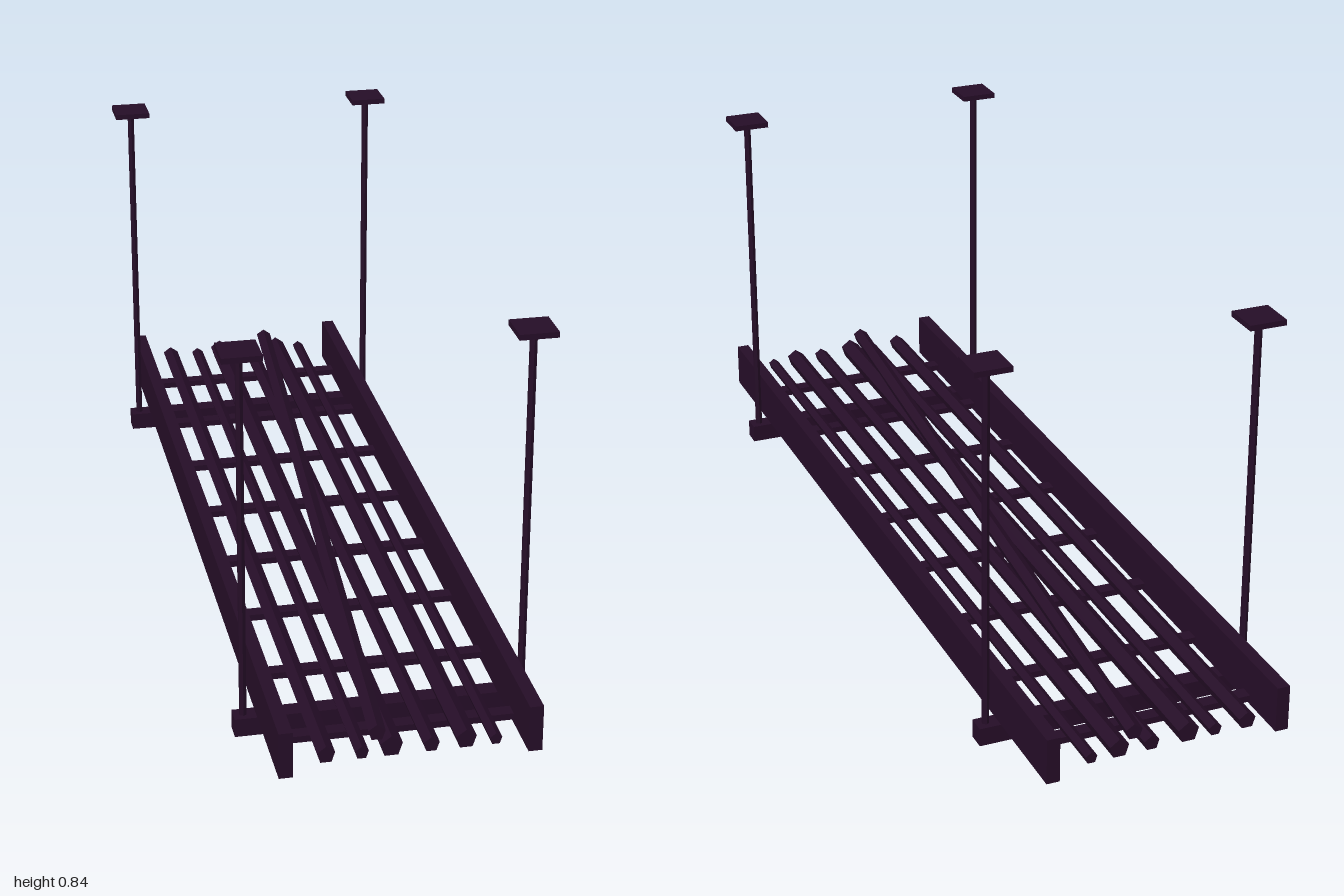
import * as THREE from 'three';

export function createModel() {
  const model = new THREE.Group();
  model.name = 'hangingCableTray';
  const darkPlum = new THREE.MeshStandardMaterial({ color: 0x250d27, flatShading: true });
  darkPlum.name = 'dark plum metal';

  const add = (name, geometry, x, y, z) => {
    const mesh = new THREE.Mesh(geometry, darkPlum);
    mesh.name = name;
    mesh.position.set(x, y, z);
    model.add(mesh);
    return mesh;
  };
  const box = (name, w, h, d, x, y, z) => add(name, new THREE.BoxGeometry(w, h, d), x, y, z);

  // five-sided cable between two points, with one corner on top
  const cable = (name, from, to, r) => {
    const geometry = new THREE.CylinderGeometry(r, r, from.distanceTo(to), 5);
    geometry.rotateY(Math.PI).rotateX(Math.PI / 2);
    const mid = from.clone().lerp(to, 0.5);
    add(name, geometry, mid.x, mid.y, mid.z).lookAt(to);
  };

  // side rails
  for (const s of [-1, 1]) box(s > 0 ? 'leftRail' : 'rightRail', 0.028, 0.1, 2, s * 0.25, 0.09, 0);

  // rungs between the rails
  for (let i = 0; i < 8; i++) box('rung', 0.48, 0.014, 0.03, 0, 0.054, -0.875 + i * 0.25);

  // trapeze hangers: crossbar, two rods and ceiling plates
  for (const z of [-0.75, 0.75]) {
    box('crossbar', 0.62, 0.04, 0.04, 0, 0.02, z);
    for (const x of [-0.29, 0.29]) {
      add('hangerRod', new THREE.CylinderGeometry(0.008, 0.008, 0.8, 6), x, 0.43, z);
      box('ceilingPlate', 0.08, 0.012, 0.08, x, 0.834, z);
    }
  }

  // cables lying side by side: x, radius
  const cables = [[-0.171, 0.019], [-0.1, 0.0145], [-0.041, 0.0235], [0.039, 0.017], [0.109, 0.0215], [0.169, 0.013]];
  for (const [x, r] of cables) {
    const y = 0.066 + r * 0.809;
    cable('cable', new THREE.Vector3(x, y, -1), new THREE.Vector3(x, y, 1), r);
  }

  // loose cable crossing over the others
  cable('crossingCable', new THREE.Vector3(0.077, 0.113, -0.998), new THREE.Vector3(-0.07, 0.118, 0.998), 0.018);

  return model;
}
